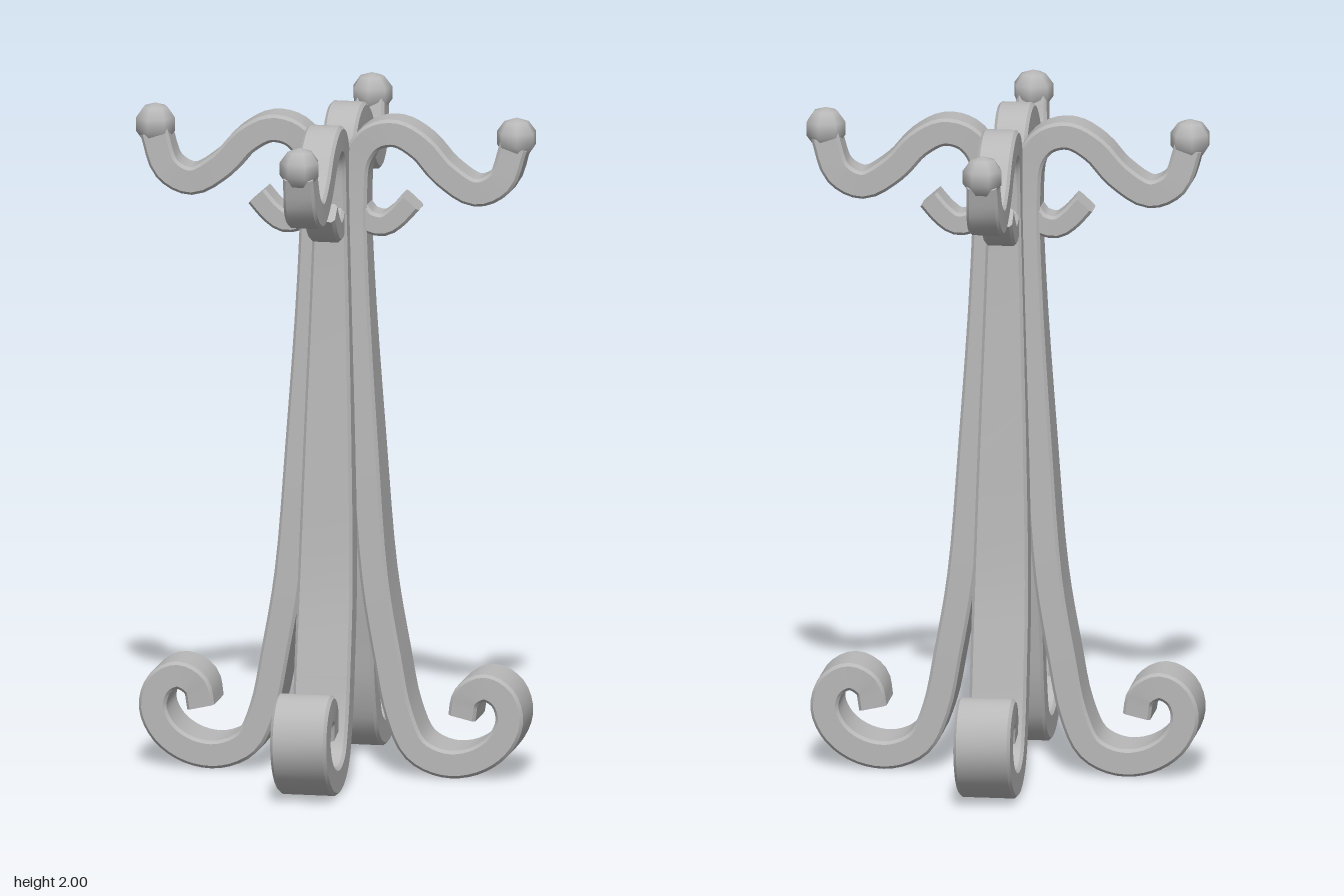
import * as THREE from 'three';
import { toCreasedNormals } from 'three/addons/utils/BufferGeometryUtils.js';

// Sweeps a chamfered bar along points [radius, height, half width]
function sweepBar(points, half, steps) {
  const curve = new THREE.CatmullRomCurve3(points.map((p) => new THREE.Vector3(...p)));
  const pos = [], idx = [];
  const c = 0.009;
  for (let i = 0; i <= steps; i++) {
    const p = curve.getPoint(i / steps);
    const t = curve.getTangent(i / steps).setZ(0).normalize();
    const h = half, w = p.z;
    const section = [[h, -w + c], [h, w - c], [h - c, w], [-h + c, w],
      [-h, w - c], [-h, -w + c], [-h + c, -w], [h - c, -w]];
    for (const [n, b] of section) pos.push(p.x - t.y * n, p.y + t.x * n, b);
  }
  for (let i = 0; i < steps; i++) {
    for (let k = 0; k < 8; k++) {
      const a = i * 8 + k, b = i * 8 + (k + 1) % 8;
      idx.push(a, b, b + 8, a, b + 8, a + 8);
    }
  }
  // end caps
  const e = steps * 8;
  for (let k = 1; k < 7; k++) idx.push(0, k + 1, k, e, e + k, e + k + 1);
  const g = new THREE.BufferGeometry();
  g.setAttribute('position', new THREE.Float32BufferAttribute(pos, 3));
  g.setIndex(idx);
  return toCreasedNormals(g, 0.6);
}

export function createModel() {
  const model = new THREE.Group();
  model.name = 'coatStand';
  const metal = new THREE.MeshStandardMaterial({ color: 0xb8b8b8 });
  metal.name = 'grey metal';

  // Foot scroll, upright leg and upper arm in one continuous bar
  const legGeo = sweepBar([
    [0.395, 0.185, 0.08], [0.41, 0.25, 0.083], [0.465, 0.28, 0.085], [0.52, 0.25, 0.085],
    [0.54, 0.18, 0.085], [0.505, 0.105, 0.085], [0.43, 0.055, 0.085], [0.34, 0.045, 0.085],
    [0.255, 0.085, 0.085], [0.205, 0.19, 0.085], [0.17, 0.36, 0.085], [0.13, 0.6, 0.083],
    [0.098, 1.0, 0.073], [0.066, 1.5, 0.057], [0.06, 1.75, 0.05], [0.073, 1.87, 0.05],
    [0.12, 1.93, 0.052], [0.19, 1.945, 0.053], [0.265, 1.905, 0.053], [0.335, 1.83, 0.053],
    [0.43, 1.775, 0.052], [0.505, 1.81, 0.05], [0.545, 1.92, 0.045],
  ], 0.042, 88);

  // Short hook below the arm
  const hookGeo = sweepBar([
    [0.07, 1.71, 0.045], [0.1, 1.675, 0.046], [0.15, 1.665, 0.047],
    [0.19, 1.69, 0.047], [0.232, 1.737, 0.047],
  ], 0.034, 10);

  // Faceted ball on the arm tip
  const ballGeo = new THREE.SphereGeometry(0.063, 7, 5);

  for (let i = 0; i < 4; i++) {
    const quarter = new THREE.Group();
    quarter.name = 'branch' + (i + 1);
    const add = (geo, name) => {
      const mesh = new THREE.Mesh(geo, metal);
      mesh.name = name;
      quarter.add(mesh);
      return mesh;
    };
    add(legGeo, 'legAndArm');
    add(hookGeo, 'smallHook');
    add(ballGeo, 'ballTip').position.set(0.547, 1.937, 0);
    quarter.rotation.y = i * Math.PI / 2;
    model.add(quarter);
  }
  return model;
}
